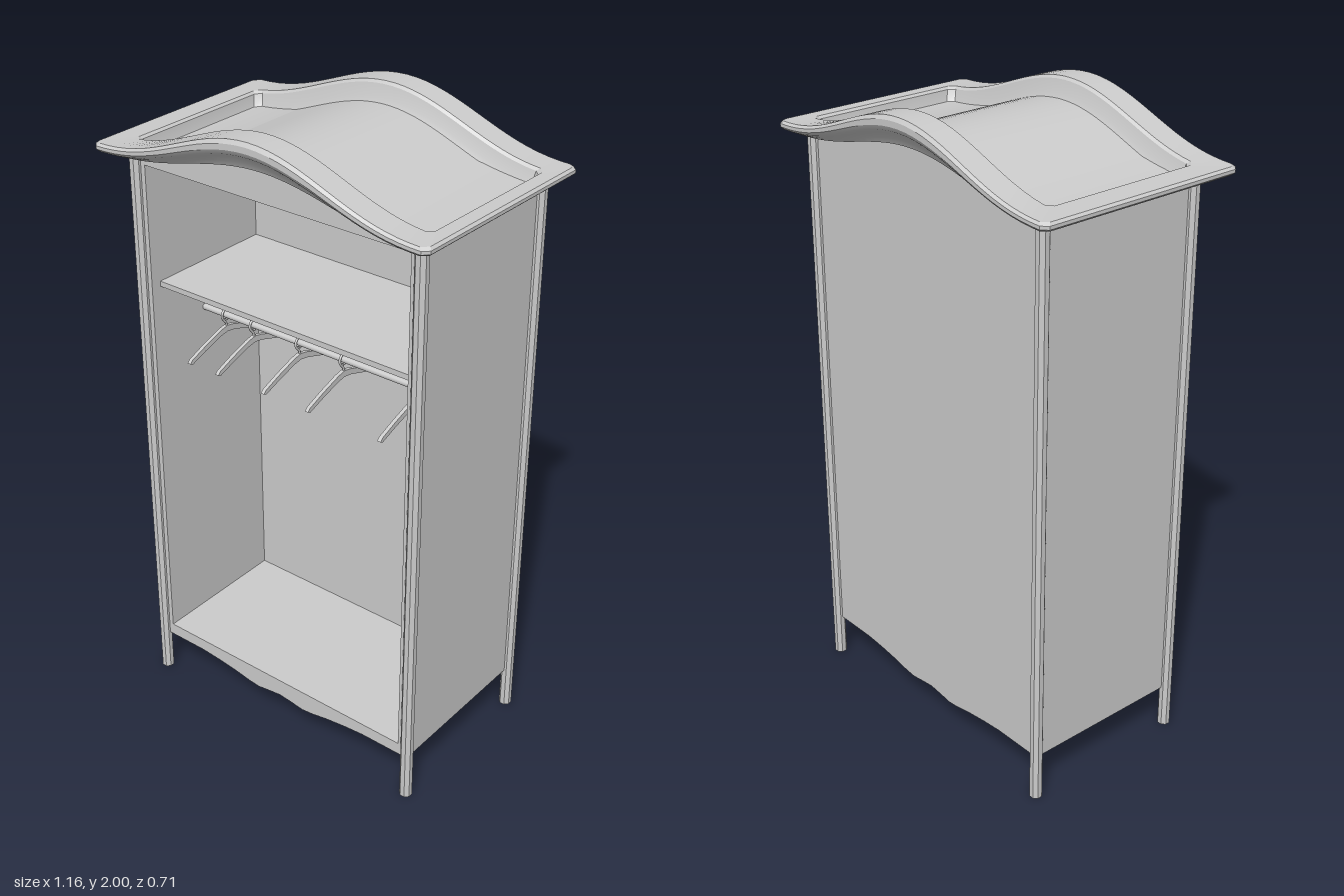
import * as THREE from 'three';
import { toCreasedNormals } from 'three/addons/utils/BufferGeometryUtils.js';

const grey = new THREE.MeshStandardMaterial({ color: 0xcccccc, side: THREE.DoubleSide });
const HALF_W = 0.5, HALF_D = 0.275;

// Height fraction of the bonnet-shaped arch at x
const arch = x => Math.pow((1 + Math.cos(Math.PI * Math.min(1, Math.abs(x) / 0.58))) / 2, 1.2);

function add(parent, name, geometry, x = 0, y = 0, z = 0) {
  const mesh = new THREE.Mesh(geometry, grey);
  mesh.name = name;
  mesh.position.set(x, y, z);
  parent.add(mesh);
  return mesh;
}

// Box given by its min and max corners
function box(parent, name, [x0, y0, z0], [x1, y1, z1]) {
  return add(parent, name, new THREE.BoxGeometry(x1 - x0, y1 - y0, z1 - z0),
    (x0 + x1) / 2, (y0 + y1) / 2, (z0 + z1) / 2);
}

// Front outline extruded through the full depth of the cabinet
function slab(parent, name, points) {
  const shape = new THREE.Shape(points.map(p => new THREE.Vector2(...p)));
  const geometry = new THREE.ExtrudeGeometry(shape, { depth: 2 * HALF_D, bevelEnabled: false });
  return add(parent, name, toCreasedNormals(geometry, 0.5), 0, 0, -HALF_D);
}

// Rectangle with cut corners, counter-clockwise from above
function outline(hx, hz, cut) {
  const n = 32, cz = Math.min(cut, hz), points = [];
  const run = (xa, za, xb, zb) => {
    for (let i = 0; i <= n; i++) points.push([xa + (xb - xa) * i / n, za + (zb - za) * i / n]);
  };
  run(hx, hz - cz, hx, cz - hz);
  run(hx - cut, -hz, cut - hx, -hz);
  run(-hx, cz - hz, -hx, hz - cz);
  run(cut - hx, hz, hx - cut, hz);
  return points;
}

// Arched cornice with a sunken tray: rings of [half x, half z, base y, rise, centre x]
function corniceGeometry() {
  const rings = [
    [0.52, 0, 1.82, 0.085, 0.008],
    [0.52, 0.302, 1.82, 0.085, 0.008],
    [0.535, 0.312, 1.824, 0.1, 0.005],
    [0.553, 0.33, 1.832, 0.112, 0],
    [0.572, 0.346, 1.84, 0.116, 0],
    [0.581, 0.354, 1.848, 0.122, 0],
    [0.581, 0.354, 1.858, 0.13, 0],
    [0.573, 0.346, 1.865, 0.135, 0],
    [0.515, 0.265, 1.865, 0.135, 0.015],
    [0.507, 0.257, 1.857, 0.135, 0.015],
    [0.5, 0.247, 1.82, 0.135, 0.015],
    [0.493, 0.24, 1.805, 0.135, 0.015],
    [0.493, 0, 1.805, 0.135, 0.015],
  ];
  const positions = [], index = [];
  let count = 0;
  rings.forEach(([hx, hz, base, rise, cx], r) => {
    const loop = outline(hx, hz, 0.018);
    count = loop.length;
    for (const [x, z] of loop) positions.push(x + cx, base + rise * arch(x + cx), z);
    if (r === 0) return;
    for (let j = 0; j < count; j++) {
      const a = (r - 1) * count + j, b = (r - 1) * count + (j + 1) % count;
      index.push(a, b, b + count, a, b + count, a + count);
    }
  });
  const geometry = new THREE.BufferGeometry();
  geometry.setAttribute('position', new THREE.Float32BufferAttribute(positions, 3));
  geometry.setIndex(index);
  return toCreasedNormals(geometry, 0.45);
}

// Hanger lying in the yz plane, hooked over the rail at its origin
function createHanger() {
  const hanger = new THREE.Group();
  hanger.name = 'hanger';
  const path = new THREE.CatmullRomCurve3([
    [-0.005, -0.016], [0.005, -0.017], [0.017, -0.004], [0.012, 0.012], [0, 0.017],
    [-0.013, 0.011], [-0.017, -0.004], [-0.008, -0.02], [0, -0.03], [0, -0.048],
  ].map(([z, y]) => new THREE.Vector3(0, y, -z)));
  add(hanger, 'hangerHook', new THREE.TubeGeometry(path, 28, 0.004, 6));
  const half = [[0, -0.036], [0.03, -0.042], [0.1, -0.066], [0.16, -0.09], [0.17, -0.1],
    [0.16, -0.105], [0.1, -0.083], [0.03, -0.061], [0, -0.056]];
  const mirrored = half.slice(1, -1).reverse().map(([x, y]) => [-x, y]);
  const shape = new THREE.Shape([...half, ...mirrored].map(p => new THREE.Vector2(...p)));
  const arms = new THREE.ExtrudeGeometry(shape, { depth: 0.012, bevelEnabled: false });
  arms.translate(0, 0, -0.006).rotateY(Math.PI / 2);
  add(hanger, 'hangerArms', arms);
  return hanger;
}

export function createModel() {
  const model = new THREE.Group();
  model.name = 'wardrobe';
  add(model, 'cornice', corniceGeometry());

  const body = new THREE.Group();
  body.name = 'body';
  body.position.set(0.015, 0, 0.004);
  model.add(body);

  // Corner posts and side panels
  const inner = 0.466, back = -0.19;
  for (const s of [-1, 1]) {
    for (const t of [-1, 1]) {
      const post = new THREE.CylinderGeometry(0.02, 0.02, 1.83, 8).rotateY(Math.PI / 8).toNonIndexed();
      add(body, 'cornerPost', toCreasedNormals(post, 0.4), s * HALF_W, 0.915, t * HALF_D);
    }
    box(body, 'sidePanel', [Math.min(s * inner, s * HALF_W), 0.14, -HALF_D],
      [Math.max(s * inner, s * HALF_W), 1.82, HALF_D]);
  }
  box(body, 'backPanel', [-inner, 0.17, -HALF_D], [inner, 1.81, back]);

  // Base with a scalloped lower edge
  const scallop = [[0.5, 0.14], [0.33, 0.14], [0.26, 0.134], [0.19, 0.125], [0.13, 0.114], [0.09, 0.11],
    [0.05, 0.116], [0, 0.122]];
  const left = scallop.slice(0, -1).map(([x, y]) => [-x, y]);
  slab(body, 'base', [...left, ...scallop.slice().reverse(), [HALF_W, 0.18], [-HALF_W, 0.18]]);

  // Arched top filling the space under the cornice
  const crown = [[-HALF_W, 1.805], [HALF_W, 1.805]];
  for (let i = 0; i <= 32; i++) {
    const x = HALF_W - 2 * HALF_W * i / 32;
    crown.push([x, 1.822 + 0.085 * arch(x + 0.015)]);
  }
  slab(body, 'archedTop', crown);

  // Shelf, hanging rail and hangers
  box(body, 'shelf', [-inner, 1.413, back], [inner, 1.43, 0.24]);
  const rail = new THREE.CylinderGeometry(0.01, 0.01, 2 * inner, 16).rotateZ(Math.PI / 2);
  add(body, 'hangingRail', rail, 0, 1.275, 0.055);
  for (const x of [-0.38, -0.268, -0.089, 0.077, 0.337]) {
    const hanger = createHanger();
    hanger.position.set(x, 1.275, 0.055);
    body.add(hanger);
  }
  return model;
}
